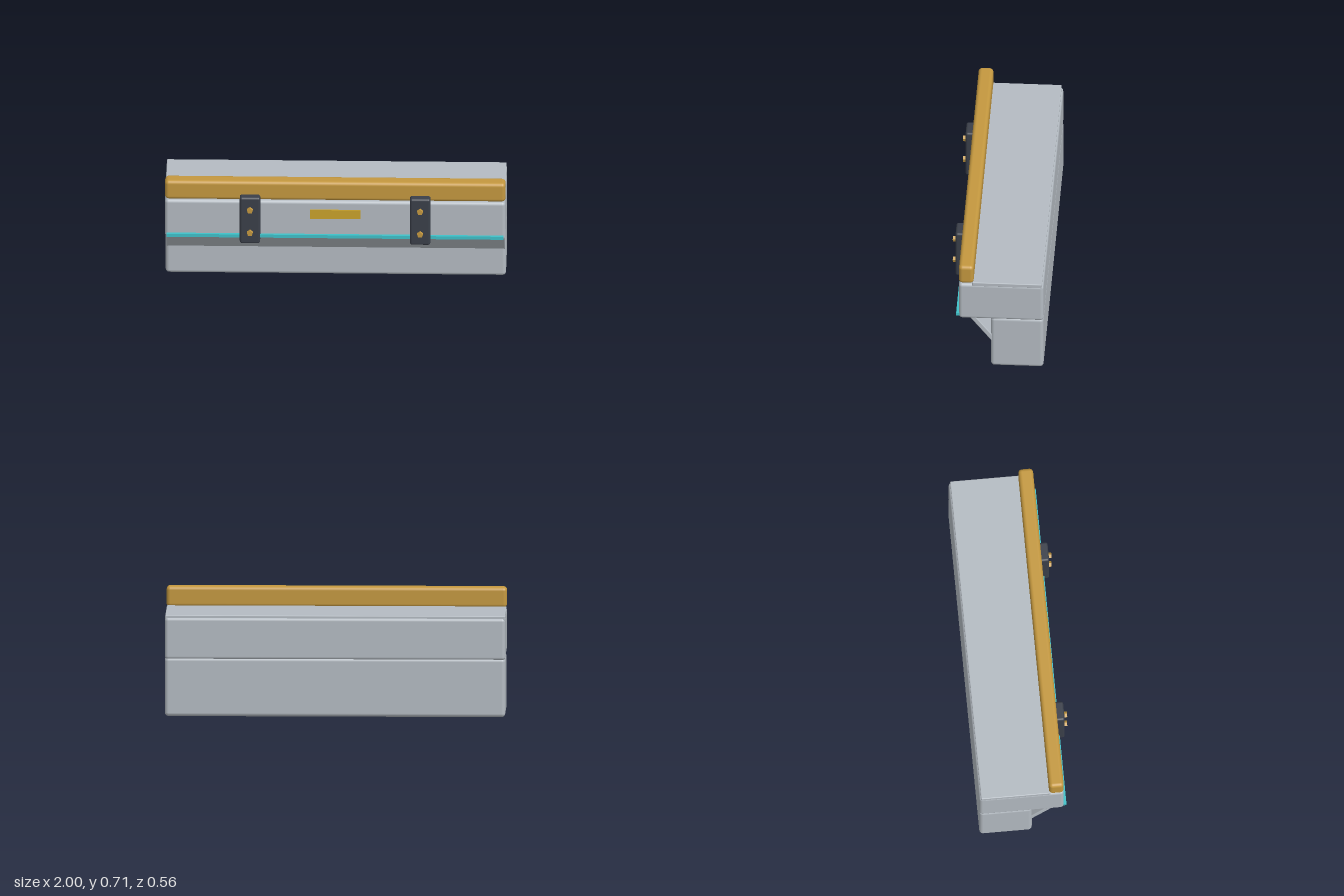
import * as THREE from 'three';
import { RoundedBoxGeometry } from 'three/addons/geometries/RoundedBoxGeometry.js';

const material = (name, color) => {
  const m = new THREE.MeshStandardMaterial({ color });
  m.name = name;
  return m;
};

export function createModel() {
  const group = new THREE.Group();
  const grey = material('pale grey', 0xb4bbc2);
  const ochre = material('ochre', 0xc4983f);
  const charcoal = material('charcoal', 0x3a3f49);
  const teal = material('teal', 0x3fc1c9);
  const gold = material('gold', 0xc9a22c);

  // Box given by its limits on each axis; a radius rounds its edges
  const block = (name, mat, [x0, x1], [y0, y1], [z0, z1], radius = 0) => {
    const size = [x1 - x0, y1 - y0, z1 - z0];
    const geometry = radius
      ? new RoundedBoxGeometry(...size, 4, radius)
      : new THREE.BoxGeometry(...size);
    const mesh = new THREE.Mesh(geometry, mat);
    mesh.name = name;
    mesh.position.set((x0 + x1) / 2, (y0 + y1) / 2, (z0 + z1) / 2);
    group.add(mesh);
    return mesh;
  };

  // Main body: base, overhanging upper section and thin lid
  block('base', grey, [-1, 1], [0, 0.35], [-0.28, 0.03], 0.022);
  block('upperBody', grey, [-1, 1], [0.337, 0.587], [-0.28, 0.218], 0.02);
  block('topPanel', grey, [-0.998, 0.998], [0.573, 0.6], [-0.27, 0.14], 0.005);

  // Sloping panel under the overhang
  const brace = block('slopingPanel', grey, [-0.995, 0.995], [0.13, 0.39], [0.06, 0.09], 0.006);
  brace.position.set(0, 0.27, 0.077);
  brace.rotation.x = Math.atan2(0.142, 0.185);

  // Padded rail, light strip and name plate
  block('topRail', ochre, [-1, 1], [0.59, 0.712], [0.131, 0.218], 0.022);
  block('lightStrip', teal, [-0.99, 0.99], [0.351, 0.371], [0.214, 0.234]);
  block('frontPlate', gold, [-0.148, 0.148], [0.475, 0.533], [0.21, 0.225]);

  // Clamps with two bolts each
  for (const x of [-0.5, 0.5]) {
    block('clamp', charcoal, [x - 0.06, x + 0.06], [0.324, 0.63], [0.196, 0.264], 0.014);
    for (const y of [0.402, 0.552]) {
      const bolt = new THREE.Mesh(new THREE.CylinderGeometry(0.0185, 0.0185, 0.03, 5).toNonIndexed(), ochre);
      bolt.name = 'bolt';
      bolt.geometry.computeVertexNormals();
      bolt.rotation.x = -Math.PI / 2;
      bolt.position.set(x, y, 0.267);
      group.add(bolt);
    }
  }
  return group;
}
